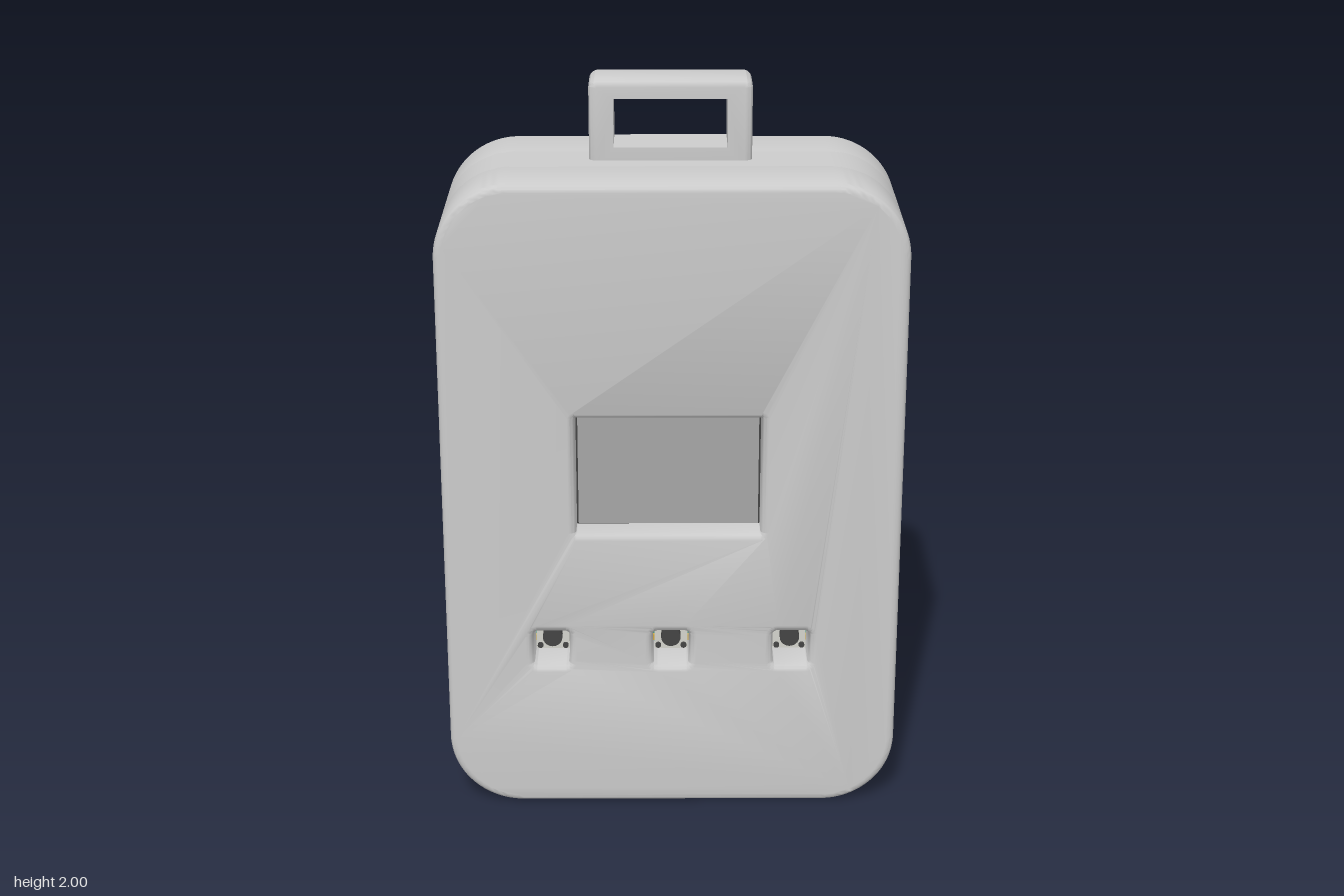
import * as THREE from 'three';
import { toCreasedNormals } from 'three/addons/utils/BufferGeometryUtils.js';

const W = 1.232, H = 1.785, D = 0.52, R = 0.2, BEVEL = 0.02;
const mat = (color) => new THREE.MeshStandardMaterial({ color });
const shell = mat(0xcccccc), glass = mat(0xa6a6a6), board = mat(0x3f9a80);
const metal = mat(0xd4d4cc), dark = mat(0x444444), gold = mat(0xc9a545);

// Rounded rectangle centred on (x, y); it starts and ends on the bottom edge
function roundRect(w, h, r, x = 0, y = 0, path = new THREE.Shape()) {
  const a = w / 2 - r, b = h / 2 - r, q = Math.PI / 2;
  path.absarc(x + a, y - b, r, -q, 0);
  path.absarc(x + a, y + b, r, 0, q);
  path.absarc(x - a, y + b, r, q, 2 * q);
  path.absarc(x - a, y - b, r, 2 * q, 3 * q);
  return path;
}
const hole = (w, h, r, x = 0, y = 0) => roundRect(w, h, r, x, y, new THREE.Path());

// Extrusion from z0 to z1, rounded at both ends without growing the outline
function slab(shape, z0, z1, bevel = BEVEL) {
  const geo = new THREE.ExtrudeGeometry(shape, {
    depth: z1 - z0 - 2 * bevel, curveSegments: 12, bevelEnabled: bevel > 0,
    bevelThickness: bevel, bevelSize: bevel, bevelOffset: -bevel, bevelSegments: 4,
  });
  return geo.translate(0, 0, z0 + bevel);
}

function add(parent, name, geo, material, x = 0, y = 0, z = 0) {
  const mesh = new THREE.Mesh(geo, material);
  mesh.name = name;
  mesh.position.set(x, y, z);
  parent.add(mesh);
}
const smooth = (geo) => toCreasedNormals(geo, 0.7);

// Small tactile switch on its board, facing +z
function pushButton() {
  const g = new THREE.Group();
  g.name = 'pushButton';
  add(g, 'buttonBoard', new THREE.BoxGeometry(0.16, 0.16, 0.03), board, 0, 0, 0.1);
  add(g, 'switchBody', new THREE.BoxGeometry(0.092, 0.092, 0.045), metal, 0, 0, 0.137);
  const disc = (r, h) => new THREE.CylinderGeometry(r, r, h, 20).rotateX(Math.PI / 2);
  add(g, 'plunger', disc(0.027, 0.03), dark, 0, 0, 0.172);
  for (const sx of [-1, 1]) {
    for (const sy of [-1, 1]) {
      add(g, 'rivet', disc(0.008, 0.008), dark, sx * 0.035, sy * 0.035, 0.162);
      add(g, 'pin', new THREE.BoxGeometry(0.012, 0.016, 0.012), gold, sx * 0.051, sy * 0.03, 0.12);
    }
  }
  return g;
}

export function createModel() {
  const root = new THREE.Group();
  root.name = 'handheldDevice';
  const body = new THREE.Group();
  body.name = 'body';
  root.add(body);
  const outline = () => roundRect(W, H, R, 0, H / 2);
  const buttonX = [-0.33, -0.003, 0.325], buttonY = 0.475;
  const screenX = -0.01, screenY = 0.983;

  // Front cover with screen window and button openings
  const front = outline();
  front.holes.push(hole(0.495, 0.33, 0.003, screenX, screenY));
  for (const x of buttonX) front.holes.push(hole(0.1, 0.1, 0.014, x, buttonY));
  add(body, 'frontCover', smooth(slab(front, 0.055, D / 2)), shell);

  // Back cover with four screw holes
  const back = outline();
  for (const x of [-0.416, 0.416]) {
    for (const y of [0.195, H - 0.195]) {
      back.holes.push(new THREE.Path().absarc(x, y, 0.053, 0, Math.PI * 2));
    }
  }
  add(body, 'backCover', smooth(slab(back, -D / 2, -0.055)), shell);

  // Middle section, notched at the bottom for the port
  const middle = outline();
  middle.lineTo(-0.2, 0).lineTo(-0.2, 0.15).lineTo(0.2, 0.15).lineTo(0.2, 0);
  add(body, 'middleSection', smooth(slab(middle, -0.08, 0.08, 0)), shell);

  // Bottom plate with the rounded port slot, and the connector behind it
  const up = (geo) => smooth(geo.rotateX(-Math.PI / 2));
  const plate = roundRect(0.44, 0.2, 0.02);
  plate.holes.push(hole(0.225, 0.066, 0.032));
  add(body, 'portPlate', up(slab(plate, 0, 0.06, 0.015)), shell);
  const port = new THREE.Group();
  port.name = 'port';
  root.add(port);
  const socket = roundRect(0.17, 0.05, 0.022);
  socket.holes.push(hole(0.154, 0.036, 0.016));
  add(port, 'socketShell', up(slab(socket, 0.04, 0.1, 0)), metal);
  add(port, 'socketTongue', new THREE.BoxGeometry(0.11, 0.05, 0.012), dark, 0, 0.08, 0);
  add(port, 'portBoard', new THREE.BoxGeometry(0.38, 0.03, 0.105), board, 0, 0.1, 0);

  // Recessed screen
  add(root, 'screen', new THREE.BoxGeometry(0.485, 0.32, 0.1), glass, screenX, screenY, 0.145);
  add(root, 'screenSeat', new THREE.BoxGeometry(0.51, 0.345, 0.1), dark, screenX, screenY, 0.135);

  // Push buttons
  for (const x of buttonX) {
    const button = pushButton();
    button.position.set(x, buttonY, 0);
    root.add(button);
  }

  // Strap loop: rounded outside, with the opening kept square and straight
  const loop = roundRect(0.43, 0.26, 0.024);
  loop.holes.push(hole(0.3, 0.13, 0.001, 0, 0.015));
  const loopGeo = slab(loop, -0.123, 0.018);
  const p = loopGeo.attributes.position;
  for (let i = 0; i < p.count; i++) {
    const x = p.getX(i), y = p.getY(i) - 0.015;
    if (Math.abs(x) < 0.18 && Math.abs(y) < 0.09) {
      p.setXY(i, Math.sign(x) * 0.15, Math.sign(y) * 0.065 + 0.015);
    }
  }
  add(root, 'strapLoop', smooth(loopGeo), shell, -0.003, 1.87, 0);

  return root;
}
